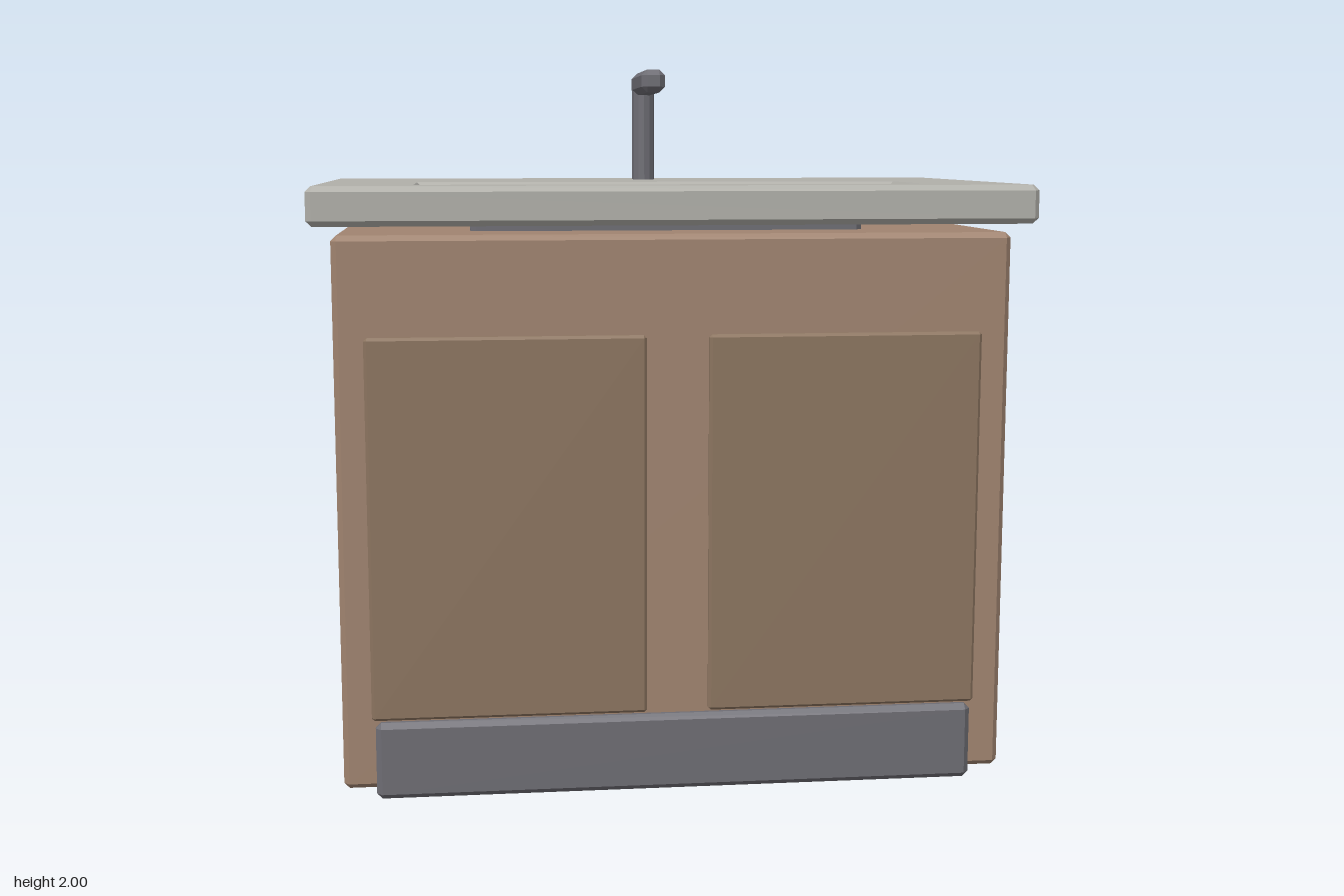
import * as THREE from 'three';
import { ConvexGeometry } from 'three/addons/geometries/ConvexGeometry.js';

const paint = (color) => new THREE.MeshStandardMaterial({ color, flatShading: true });

// Box with every edge cut at 45 degrees, given by its limits on each axis
function chamferBox(name, [x0, x1], [y0, y1], [z0, z1], c, material) {
  const half = [(x1 - x0) / 2, (y1 - y0) / 2, (z1 - z0) / 2];
  const points = [];
  for (const sx of [-1, 1]) for (const sy of [-1, 1]) for (const sz of [-1, 1]) {
    for (let axis = 0; axis < 3; axis++) {
      const p = half.map((h, i) => (i === axis ? h : h - c));
      points.push(new THREE.Vector3(p[0] * sx, p[1] * sy, p[2] * sz));
    }
  }
  const mesh = new THREE.Mesh(new ConvexGeometry(points), material);
  mesh.name = name;
  mesh.position.set((x0 + x1) / 2, (y0 + y1) / 2, (z0 + z1) / 2);
  return mesh;
}

export function createModel() {
  const model = new THREE.Group();
  model.name = 'sinkCabinet';
  const wood = paint(0xa08470);
  const doorWood = paint(0x8c7560);
  const metal = paint(0x6e6d74);
  const stone = paint(0xb0afa9);

  // Cabinet body and the kick board at its foot
  model.add(chamferBox('cabinet', [-0.92, 0.92], [0.025, 1.54], [-0.55, 0.55], 0.015, wood));
  model.add(chamferBox('kickBoard', [-0.83, 0.83], [0, 0.215], [0.36, 0.575], 0.015, metal));

  // Pair of doors
  for (const [name, x] of [['leftDoor', 0.4625], ['rightDoor', -0.4625]]) {
    model.add(chamferBox(name, [x - 0.3775, x + 0.3775], [0.22, 1.27], [0.53, 0.565], 0.008, doorWood));
  }

  // Basin block below the opening
  model.add(chamferBox('basin', [-0.552, 0.552], [1.4, 1.59], [-0.33, 0.33], 0.017, metal));

  // Countertop slab with clipped corners and a rectangular opening
  const w = 0.978, d = 0.61, b = 0.015;
  const outline = new THREE.Shape([
    [-w + b, -d], [w - b, -d], [w, -d + b], [w, d - b],
    [w - b, d], [-w + b, d], [-w, d - b], [-w, -d + b],
  ].map(([x, z]) => new THREE.Vector2(x, z)));
  outline.holes.push(new THREE.Path([
    [-0.687, 0.085], [-0.687, 0.428], [0.687, 0.428], [0.687, 0.085],
  ].map(([x, z]) => new THREE.Vector2(x, z))));
  const slab = new THREE.ExtrudeGeometry(outline, {
    depth: 0.075, bevelEnabled: true, bevelThickness: b, bevelSize: b, bevelOffset: -b, bevelSegments: 1,
  });
  slab.rotateX(Math.PI / 2);
  const countertop = new THREE.Mesh(slab, stone);
  countertop.name = 'countertop';
  countertop.position.y = 1.67 - b;
  model.add(countertop);

  // Tap: upright post and forward spout
  const tap = new THREE.Group();
  tap.name = 'tap';
  const post = new THREE.Mesh(new THREE.CylinderGeometry(0.035, 0.035, 0.32, 12), metal);
  post.name = 'tapPost';
  post.position.set(0, 1.81, -0.37);
  tap.add(post);
  tap.add(chamferBox('tapSpout', [-0.035, 0.035], [1.932, 2], [-0.4, -0.055], 0.017, metal));
  model.add(tap);

  return model;
}
